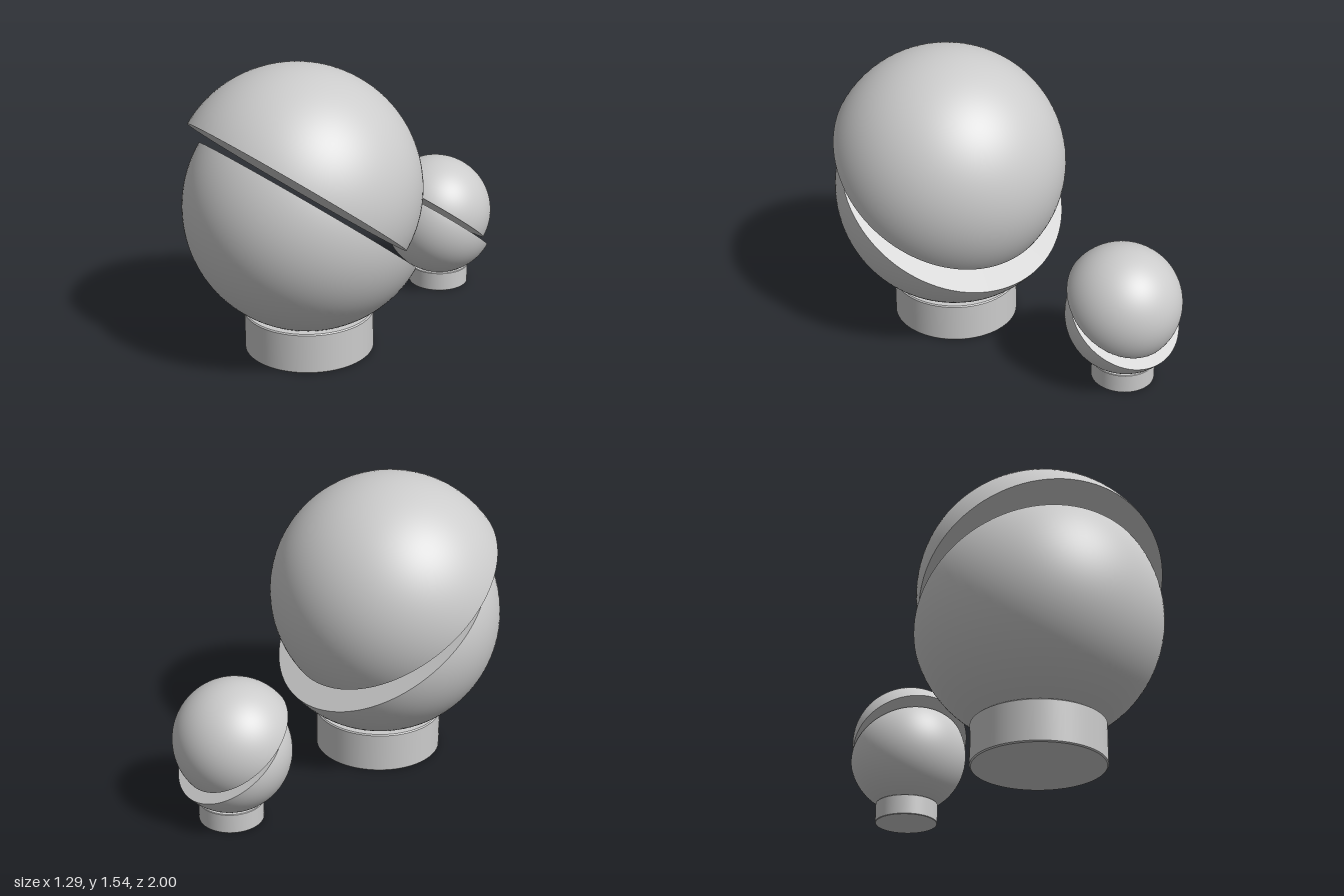
import * as THREE from 'three';

const grey = new THREE.MeshStandardMaterial({ color: 0xcccccc });
const RADIUS = 0.643;
const TILT = -0.661; // slope of the cut through the globe

// Solid half globe: dome plus flat cut face
function halfGlobe(name, y, z, rotation) {
  const half = new THREE.Group();
  half.name = name;
  const dome = new THREE.Mesh(
    new THREE.SphereGeometry(RADIUS, 96, 32, 0, Math.PI * 2, 0, Math.PI / 2), grey);
  dome.name = name + 'Dome';
  const face = new THREE.Mesh(new THREE.CircleGeometry(RADIUS, 96).rotateX(Math.PI / 2), grey);
  face.name = name + 'CutFace';
  half.add(dome, face);
  half.position.set(0, y, z);
  half.rotation.x = rotation;
  return half;
}

// Short cylindrical foot with slightly eased edges
function foot(radius, height, ease) {
  const group = new THREE.Group();
  group.name = 'base';
  const add = (name, geometry, y) => {
    const mesh = new THREE.Mesh(geometry, grey);
    mesh.name = name;
    mesh.position.y = y;
    group.add(mesh);
  };
  const inner = radius - ease;
  add('baseWall', new THREE.CylinderGeometry(radius, radius, height - 2 * ease, 72, 1, true), height / 2);
  add('baseTopEdge', new THREE.CylinderGeometry(inner, radius, ease, 72), height - ease / 2);
  add('baseBottomEdge', new THREE.CylinderGeometry(radius, inner, ease, 72), ease / 2);
  return group;
}

// Lamp centred over its foot; the upper half is slid forward along the cut
function lamp(name, x, z, scale) {
  const group = new THREE.Group();
  group.name = name;
  group.add(
    foot(0.34, 0.22, 0.006),
    halfGlobe('lowerHalf', 0.79, 0, TILT + Math.PI),
    halfGlobe('upperHalf', 0.902, 0.063, TILT),
  );
  group.position.set(x, 0, z);
  group.scale.setScalar(scale);
  return group;
}

export function createModel() {
  const model = new THREE.Group();
  model.name = 'splitGlobeLamps';
  model.add(
    lamp('largeLamp', 0, 0.358, 1),
    lamp('smallLamp', -0.265, -0.716, 0.49),
  );
  return model;
}
